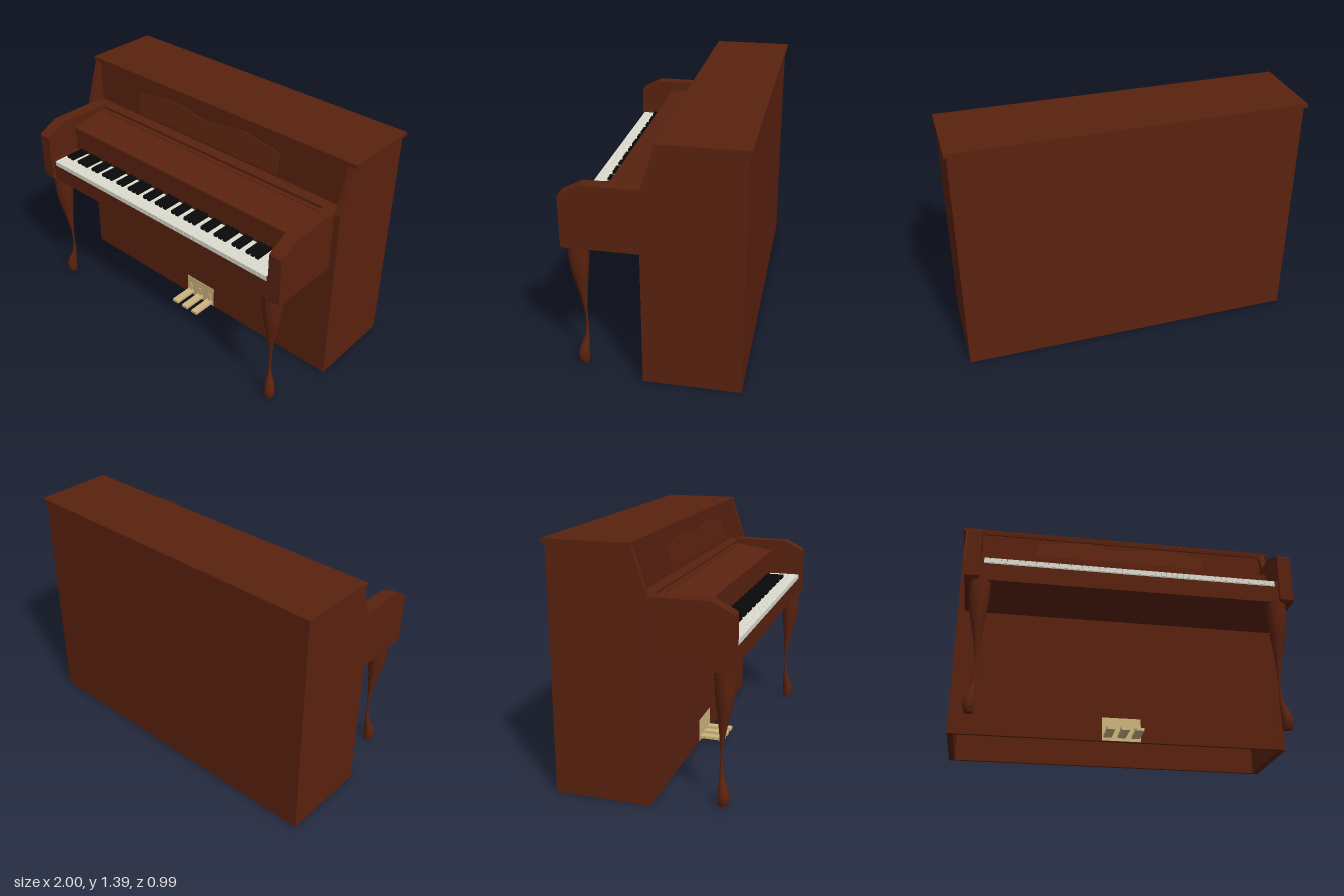
import * as THREE from 'three';

const mat = (name, color) => {
  const m = new THREE.MeshStandardMaterial({ color });
  m.name = name;
  return m;
};

export function createModel() {
  const wood = mat('mahogany', 0x5a220f);
  const ivory = mat('ivory', 0xdcdccf);
  const ebony = mat('ebony', 0x0b0a0a);
  const brass = mat('brass', 0xcdb57e);
  const piano = new THREE.Group();
  piano.name = 'uprightPiano';

  const add = (name, geo, material, parent = piano) => {
    const m = new THREE.Mesh(geo, material);
    m.name = name;
    parent.add(m);
    return m;
  };
  // Box given by its limits on each axis
  const box = (name, material, [x0, x1], [y0, y1], [z0, z1], parent) =>
    add(name, new THREE.BoxGeometry(x1 - x0, y1 - y0, z1 - z0), material, parent)
      .position.set((x0 + x1) / 2, (y0 + y1) / 2, (z0 + z1) / 2);
  // Side profile of [z, y] points, extruded from x0 to x1
  const profile = (name, pts, x0, x1) => {
    const shape = new THREE.Shape(pts.map(p => new THREE.Vector2(...p)));
    const geo = new THREE.ExtrudeGeometry(shape, { depth: x1 - x0, bevelEnabled: false });
    geo.rotateY(-Math.PI / 2).translate(x1, 0, 0);
    return add(name, geo, wood);
  };

  // Cabinet: hollow and open at the bottom
  const sideShape = [[-0.48, 0], [0.063, 0], [0.063, 1.115], [0.037, 1.19], [-0.022, 1.37], [-0.48, 1.37]];
  profile('rightSide', sideShape, -0.985, -0.95);
  profile('leftSide', sideShape, 0.95, 0.985);
  box('backPanel', wood, [-0.95, 0.95], [0, 1.37], [-0.48, -0.46]);
  box('lowerFrontPanel', wood, [-0.95, 0.95], [0, 1.09], [0.043, 0.062]);
  box('upperFrontPanel', wood, [-0.95, 0.95], [1.08, 1.37], [-0.055, -0.033]);
  box('topRail', wood, [-0.95, 0.95], [1.358, 1.37], [-0.033, -0.024]);
  box('lid', wood, [-1, 1], [1.37, 1.392], [-0.495, -0.022]);
  box('shelf', wood, [-0.95, 0.95], [1.085, 1.107], [-0.04, 0.035]);

  // Fallboard, keybed and arms
  profile('fallboard', [[0.035, 0.86], [0.285, 0.86], [0.285, 1.05], [0.035, 1.09]], -0.868, 0.868);
  box('keybed', wood, [-0.868, 0.868], [0.76, 0.865], [0.06, 0.474]);
  const armShape = [[0.03, 0.76], [0.485, 0.76], [0.495, 0.772], [0.495, 1.055], [0.487, 1.064],
    [0.375, 1.12], [0.03, 1.12]];
  profile('rightArm', armShape, -0.945, -0.866);
  profile('leftArm', armShape, 0.866, 0.945);
  for (const s of [-1, 1]) {
    const xs = [0.846 * s, 0.868 * s].sort((a, b) => a - b);
    box('keyBlock', wood, xs, [0.86, 0.9], [0.28, 0.478]);
  }

  // Keyboard: seven octaves starting on C, plus three white keys
  const keys = new THREE.Group();
  keys.name = 'keyboard';
  piano.add(keys);
  const count = 52, start = -0.845, pitch = 1.69 / count;
  box('keyBase', ivory, [start, -start], [0.864, 0.885], [0.28, 0.476], keys);
  for (let i = 0; i < count; i++) {
    const x = start + i * pitch;
    box('whiteKey', ivory, [x + 0.0007, x + pitch - 0.0007], [0.867, 0.896], [0.28, 0.48], keys);
    if (i < 49 && [0, 1, 3, 4, 5].includes(i % 7)) {
      const c = x + pitch;
      box('blackKey', ebony, [c - 0.0105, c + 0.0105], [0.89, 0.914], [0.28, 0.4], keys);
    }
  }

  // Music desk with a wavy top edge, leaning back
  const desk = new THREE.Shape();
  desk.moveTo(-0.535, 0);
  desk.lineTo(0.535, 0);
  desk.lineTo(0.535, 0.122);
  desk.bezierCurveTo(0.42, 0.138, 0.34, 0.155, 0.26, 0.155);
  desk.bezierCurveTo(0.16, 0.155, 0.1, 0.125, 0, 0.125);
  desk.bezierCurveTo(-0.1, 0.125, -0.16, 0.155, -0.26, 0.155);
  desk.bezierCurveTo(-0.34, 0.155, -0.42, 0.138, -0.535, 0.122);
  const deskMesh = add('musicDesk',
    new THREE.ExtrudeGeometry(desk, { depth: 0.008, bevelEnabled: false, curveSegments: 8 }), wood);
  deskMesh.position.set(0, 1.175, 0.03);
  deskMesh.rotation.x = -0.2;

  // Curved legs: circles of [y, x, z, radius] stacked along a bent axis
  const rings = [[0, 0.864, 0.423, 0.024], [0.03, 0.867, 0.426, 0.031], [0.06, 0.867, 0.426, 0.031],
    [0.1, 0.862, 0.421, 0.026], [0.15, 0.852, 0.412, 0.015], [0.21, 0.847, 0.408, 0.008],
    [0.3, 0.847, 0.408, 0.007], [0.38, 0.849, 0.412, 0.015], [0.48, 0.853, 0.419, 0.03],
    [0.57, 0.856, 0.425, 0.045], [0.66, 0.857, 0.427, 0.055], [0.765, 0.857, 0.427, 0.058]];
  const axis = new THREE.CatmullRomCurve3(rings.map(r => new THREE.Vector3(r[1], r[0], r[2])));
  const radii = new THREE.CatmullRomCurve3(rings.map(r => new THREE.Vector3(r[3], r[0], 0)));
  const legGeometry = side => {
    const geo = new THREE.CylinderGeometry(1, 1, 1, 20, 33);
    const p = geo.attributes.position;
    for (let i = 0; i < p.count; i++) {
      const t = THREE.MathUtils.clamp(p.getY(i) + 0.5, 0, 1);
      const c = axis.getPoint(t), r = radii.getPoint(t).x;
      p.setXYZ(i, side * c.x + p.getX(i) * r, c.y, c.z + p.getZ(i) * r);
    }
    geo.computeVertexNormals();
    return geo;
  };
  add('rightLeg', legGeometry(-1), wood);
  add('leftLeg', legGeometry(1), wood);

  // Pedals and their plate, which passes through the front panel
  box('pedalPlate', brass, [-0.113, 0.113], [0.002, 0.14], [0.04, 0.065]);
  for (const x of [-0.082, 0, 0.082]) {
    box('pedal', brass, [x - 0.023, x + 0.023], [0.02, 0.037], [0.06, 0.218]);
    box('pedalStem', brass, [x - 0.008, x + 0.008], [0.037, 0.088], [0.06, 0.072]);
  }
  return piano;
}
